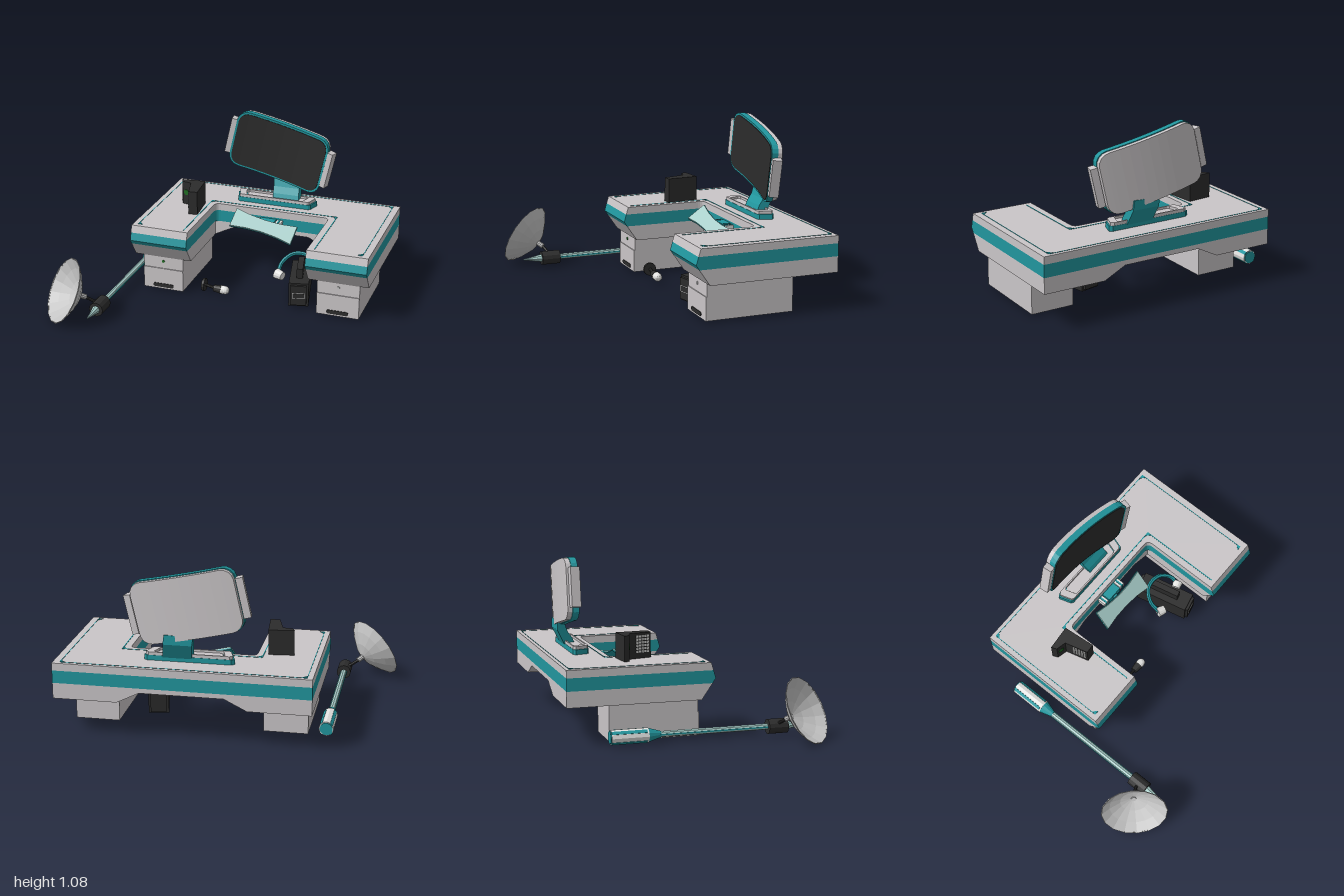
import * as THREE from 'three';

const mat = (name, color) => Object.assign(new THREE.MeshStandardMaterial({ color }), { name });

export function createModel() {
  const grey = mat('warm grey', 0xcac6c8);
  const teal = mat('teal', 0x21969e);
  const black = mat('black', 0x2c2c2c);
  const mint = mat('pale mint', 0xa9cfcb);
  const white = mat('off white', 0xe2e2e0);
  const green = mat('green', 0x1f6b22);
  const dish = mat('dish grey', 0xc4c4c4);
  dish.side = THREE.DoubleSide;

  const root = new THREE.Group();
  root.name = 'workstation';

  // Adds a faceted mesh
  function add(parent, name, geo, material, pos = [0, 0, 0], rot = [0, 0, 0]) {
    const g = geo.index ? geo.toNonIndexed() : geo;
    g.computeVertexNormals();
    const m = new THREE.Mesh(g, material);
    m.name = name;
    m.position.set(...pos);
    m.rotation.set(...rot);
    parent.add(m);
    return m;
  }
  function group(name, pos = [0, 0, 0], parent = root) {
    const g = new THREE.Group();
    g.name = name;
    g.position.set(...pos);
    parent.add(g);
    return g;
  }
  // Box given by its limits
  const span = (parent, name, m, x0, x1, y0, y1, z0, z1) => add(parent, name,
    new THREE.BoxGeometry(x1 - x0, y1 - y0, z1 - z0), m, [(x0 + x1) / 2, (y0 + y1) / 2, (z0 + z1) / 2]);
  const shapeOf = pts => new THREE.Shape(pts.map(p => new THREE.Vector2(...p)));
  const extrude = (shape, depth) => new THREE.ExtrudeGeometry(shape, { depth, bevelEnabled: false, curveSegments: 5 });
  // Outline in x, z raised from y = 0
  const raise = (pts, h) => extrude(shapeOf(pts.map(([x, z]) => [x, -z])), h).rotateX(-Math.PI / 2);
  // Moves vertices by a rule
  function warp(geo, rule) {
    const p = geo.attributes.position, v = new THREE.Vector3();
    for (let i = 0; i < p.count; i++) {
      rule(v.fromBufferAttribute(p, i));
      p.setXYZ(i, v.x, v.y, v.z);
    }
    return geo;
  }
  // Cylinder between two points
  function rod(parent, name, m, a, b, ra, rb = ra, sides = 12) {
    const A = new THREE.Vector3(...a), d = new THREE.Vector3(...b).sub(A);
    const mesh = add(parent, name, new THREE.CylinderGeometry(rb, ra, d.length(), sides), m);
    mesh.position.copy(A).addScaledVector(d, 0.5);
    mesh.quaternion.setFromUnitVectors(new THREE.Vector3(0, 1, 0), d.normalize());
    return mesh;
  }

  // Desk: U-shaped layers with a pointed front
  const desk = group('desk');
  const frontZ = y => y < 0.38 ? 0.04 + (y - 0.25) * 0.69 : 0.13 - (y - 0.38) * 0.3;
  function deskLayer(name, m, y0, y1) {
    const s = new THREE.Shape();
    s.moveTo(-0.59, -0.1).lineTo(-0.2, -0.1).lineTo(-0.2, 0.4).quadraticCurveTo(-0.2, 0.44, -0.16, 0.44);
    s.lineTo(0.56, 0.44).quadraticCurveTo(0.6, 0.44, 0.6, 0.4).lineTo(0.6, -0.1);
    s.lineTo(1, -0.1).lineTo(1, 0.8).lineTo(-0.59, 0.8);
    const g = extrude(s, y1 - y0).rotateX(-Math.PI / 2).translate(0, y0, 0);
    add(desk, name, warp(g, v => { if (v.z > 0) v.z = frontZ(v.y); }), m);
  }
  deskLayer('deskTop', grey, 0.43, 0.478);
  deskLayer('bandUpper', teal, 0.38, 0.43);
  deskLayer('bandLower', teal, 0.35, 0.38);
  for (const [x0, x1] of [[-0.59, -0.2], [0.6, 1]]) {
    const g = new THREE.BoxGeometry(x1 - x0, 0.1, 1).translate((x0 + x1) / 2, 0.3, 0);
    add(desk, 'wingUnderside', warp(g, v => { v.z = v.z > 0 ? frontZ(v.y) : -0.8; }), grey);
  }
  add(desk, 'beamUnderside', extrude(shapeOf([[-0.2, 0.25], [-0.06, 0.32], [0.46, 0.32], [0.6, 0.25],
    [0.6, 0.35], [-0.2, 0.35]]), 0.36), grey, [0, 0, -0.8]);

  // Inlaid lines and corner marks
  const inlay = (x0, x1, z0, z1) => span(desk, 'inlay', teal, x0, x1, 0.476, 0.48, z0, z1);
  for (const x of [-0.555, 0.955]) inlay(x - 0.002, x + 0.002, -0.775, 0.07);
  for (const x of [-0.237, 0.645]) inlay(x - 0.003, x + 0.003, -0.475, 0.07);
  inlay(-0.555, 0.955, -0.777, -0.773);
  inlay(-0.237, 0.645, -0.478, -0.472);
  for (const [x, z, sx, sz] of [[-0.555, -0.775, 1, 1], [0.955, -0.775, -1, 1], [-0.555, 0.07, 1, -1],
    [0.955, 0.07, -1, -1], [-0.237, -0.475, 1, 1], [0.645, -0.475, -1, 1]]) {
    const pts = [[x, z], [x, z + sz * 0.03], [x + sx * 0.03, z]];
    add(desk, 'cornerMark', raise(pts, 0.006), teal, [0, 0.476, 0]);
  }

  // Pedestals with drawer fronts
  [[-0.535, -0.258, green], [0.66, 0.94, dish]].forEach(([x0, x1, light]) => {
    const c = (x0 + x1) / 2, p = group('pedestal');
    span(p, 'cabinet', grey, x0, x1, 0.018, 0.26, -0.53, 0.034);
    span(p, 'drawerFront', grey, x0, x1, 0.018, 0.165, 0.034, 0.04);
    span(p, 'drawerHandle', black, c - 0.06, c + 0.06, 0.03, 0.056, 0.038, 0.044);
    for (const s of [-1, 1]) add(p, 'handleEnd', new THREE.CylinderGeometry(0.013, 0.013, 0.006, 10), black,
      [c + s * 0.06, 0.043, 0.041], [Math.PI / 2, 0, 0]);
    add(p, 'light', new THREE.CylinderGeometry(0.01, 0.01, 0.006, 8), light, [c, 0.217, 0.036], [Math.PI / 2, 0, 0]);
  });

  // Monitor: curved, rounded panels
  const monitor = group('monitor', [0.193, 0.836, -0.655]);
  monitor.rotation.set(0, -0.06, -0.222, 'YXZ');
  const bend = x => 0.28 * x * x;
  function panel(name, m, w, h, r, z0, z1) {
    const g = new THREE.BoxGeometry(w, h, z1 - z0, 16, 1, 1);
    add(monitor, name, warp(g, v => {
      const i = Math.round(Math.abs(v.x) / w * 16), a = Math.max(0, i - 4) * Math.PI / 8, flat = w / 2 - r;
      v.x = Math.sign(v.x) * (i < 4 ? flat * i / 4 : flat + r * Math.sin(a));
      v.y = Math.sign(v.y) * (h / 2 - r + r * Math.cos(a));
      v.z += (z0 + z1) / 2 + bend(v.x);
    }), m);
  }
  panel('screenShell', teal, 0.665, 0.4, 0.075, -0.012, 0.03);
  panel('screen', black, 0.638, 0.373, 0.065, 0.03, 0.034);
  panel('screenBack', grey, 0.655, 0.39, 0.072, -0.042, -0.012);
  for (const s of [-1, 1]) add(monitor, 'sideSpeaker', new THREE.BoxGeometry(0.045, 0.25, 0.06), grey,
    [s * 0.352, 0, 0.033], [0, -s * 0.18, 0]);

  // Monitor stand
  const stand = group('monitorStand');
  const neck = extrude(shapeOf([[0.57, 0.5], [0.64, 0.5], [0.665, 0.55], [0.69, 0.6], [0.69, 0.66],
    [0.65, 0.66], [0.62, 0.585], [0.59, 0.545]]), 0.18).rotateY(Math.PI / 2);
  add(stand, 'neck', warp(neck, v => { v.z = -Math.abs(v.z); v.x += 0.165 - (v.y - 0.52) * 0.13; }), teal);
  const foot = y => [[-0.095, -0.625], [-0.075, -0.64], [0.445, -0.64], [0.465, -0.625], [0.44, -0.545],
    [0.425, -0.535], [-0.055, -0.535], [-0.07, -0.545]].map(([x, z]) => [0.185 + (x - 0.185) * y, -0.588 + (z + 0.588) * y]);
  add(stand, 'footBase', raise(foot(1), 0.034), teal, [0, 0.476, 0]);
  const ring = shapeOf(foot(0.96).map(([x, z]) => [x, -z]));
  ring.holes.push(new THREE.Path(foot(0.78).map(([x, z]) => new THREE.Vector2(x, -z)).reverse()));
  add(stand, 'footRim', extrude(ring, 0.02).rotateX(-Math.PI / 2), grey, [0, 0.51, 0]);
  add(stand, 'footInset', raise(foot(0.76), 0.008), grey, [0, 0.508, 0]);

  // Keyboard: a tilted bow-tie plate on a bracket
  const keyboard = group('keyboard', [0.183, 0.41, -0.315]);
  keyboard.rotation.set(-0.9, 0, -0.18, 'ZXY');
  const bow = (w, e, m) => shapeOf([[-w, -e], [-w / 2, -m - 0.006], [0, -m], [w / 2, -m - 0.006], [w, -e],
    [w, e], [w / 2, m + 0.006], [0, m], [-w / 2, m + 0.006], [-w, e]]);
  add(keyboard, 'keyboardTop', extrude(bow(0.215, 0.068, 0.045), 0.008), mint);
  add(keyboard, 'keyboardBase', extrude(bow(0.217, 0.071, 0.048), 0.009), teal, [0, 0, -0.009]);
  const bracket = group('keyboardBracket');
  span(bracket, 'mountPlate', teal, 0.125, 0.235, 0.37, 0.42, -0.44, -0.38);
  for (const x of [0.08, 0.24]) {
    span(bracket, 'mountSide', white, x, x + 0.04, 0.375, 0.415, -0.44, -0.385);
    span(bracket, 'mountStripe', teal, x + 0.014, x + 0.026, 0.372, 0.418, -0.44, -0.38);
  }
  span(bracket, 'mountArm', teal, 0.163, 0.192, 0.38, 0.405, -0.39, -0.32);

  // Folded control unit on the desk
  const unit = group('controlUnit', [0, 0.478, 0]);
  add(unit, 'unitBody', raise([[-0.425, -0.4], [-0.41, -0.365], [-0.345, -0.35], [-0.305, -0.2],
    [-0.245, -0.205], [-0.265, -0.415]], 0.16), black);
  const keys = group('keyGrid', [-0.322, 0.09, -0.257], unit);
  keys.rotation.y = Math.atan2(-0.15, 0.04);
  for (let r = 0; r < 6; r++) for (let c = 0; c < 5; c++)
    add(keys, 'key', new THREE.BoxGeometry(0.014, 0.013, 0.005), white, [(c - 2) * 0.019, (r - 2.5) * 0.019, 0]);
  add(unit, 'greenDial', new THREE.CylinderGeometry(0.02, 0.02, 0.006, 10), green, [-0.38, 0.085, -0.358],
    [Math.PI / 2, 0, 0.23]);

  // Case on the floor
  const box = group('floorCase', [0.485, 0.02, -0.19]);
  box.rotation.y = 0.22;
  span(box, 'caseBody', black, -0.065, 0.065, 0, 0.16, -0.18, 0.18);
  for (const s of [-1, 1]) span(box, 'caseEnd', black, -0.052, 0.052, 0.012, 0.148, s * 0.185 - 0.012, s * 0.185 + 0.012);
  span(box, 'caseGrip', black, -0.02, 0.02, 0.16, 0.225, -0.1, 0.1);
  span(box, 'casePanel', dish, -0.04, 0.04, 0.06, 0.1, 0.195, 0.199);
  span(box, 'casePanelInset', black, -0.036, 0.036, 0.064, 0.096, 0.197, 0.201);

  // Headset hung over the case
  const headset = group('headset');
  const band = new THREE.CatmullRomCurve3([[0.345, 0.17, -0.13], [0.35, 0.22, -0.21], [0.4, 0.26, -0.27],
    [0.46, 0.27, -0.285], [0.53, 0.255, -0.27], [0.58, 0.22, -0.22], [0.58, 0.19, -0.16]].map(p => new THREE.Vector3(...p)));
  add(headset, 'headband', new THREE.TubeGeometry(band, 24, 0.014, 6), teal);
  rod(headset, 'earCup', white, [0.335, 0.17, -0.135], [0.385, 0.165, -0.115], 0.035, 0.028);
  rod(headset, 'earCup', white, [0.592, 0.19, -0.165], [0.55, 0.185, -0.15], 0.035, 0.028);

  // Microphone lying on its side
  const mic = group('microphone');
  rod(mic, 'micFoot', black, [-0.137, 0.065, -0.022], [-0.12, 0.065, -0.022], 0.043);
  rod(mic, 'micStem', black, [-0.12, 0.065, -0.022], [-0.05, 0.05, -0.022], 0.01, 0.01, 8);
  rod(mic, 'micBody', black, [-0.06, 0.05, -0.022], [-0.008, 0.047, -0.022], 0.022, 0.03);
  rod(mic, 'micCollar', white, [-0.008, 0.047, -0.022], [0.018, 0.046, -0.022], 0.028);
  add(mic, 'micHead', new THREE.SphereGeometry(0.028, 12, 8), white, [0.018, 0.046, -0.022]);

  // Long probe along the floor
  const probe = group('probe'), at = z => [-0.648, 0.07, z];
  rod(probe, 'handle', white, at(-0.55), at(-0.32), 0.046);
  rod(probe, 'handleTaper', teal, at(-0.32), at(-0.24), 0.044, 0.02);
  rod(probe, 'handleCap', teal, at(-0.556), at(-0.55), 0.04);
  for (let i = 0; i < 4; i++) {
    const a = (i + 0.5) * Math.PI / 2;
    add(probe, 'handleStripe', new THREE.BoxGeometry(0.009, 0.022, 0.22), teal,
      [-0.648 + Math.cos(a) * 0.042, 0.07 + Math.sin(a) * 0.042, -0.44], [0, 0, a]);
  }
  rod(probe, 'shaft', mint, at(-0.26), at(0.45), 0.019, 0.019, 8);
  for (const s of [-1, 1]) span(probe, 'shaftLine', teal, -0.648 + s * 0.018 - 0.003, -0.648 + s * 0.018 + 0.003,
    0.066, 0.074, -0.25, 0.45);
  rod(probe, 'sleeve', black, at(0.445), at(0.57), 0.047);
  rod(probe, 'tip', mint, at(0.57), at(0.7), 0.027, 0.002, 8);

  // Dish antenna on a short arm
  const axis = new THREE.Vector3(-0.67, 0.45, 0.6).normalize();
  const antenna = group('antenna', [-0.76, 0.146, 0.553]);
  antenna.quaternion.setFromUnitVectors(new THREE.Vector3(0, 1, 0), axis);
  const bowl = [[0.001, 0], [0.09, 0.033], [0.16, 0.075], [0.215, 0.12]].map(p => new THREE.Vector2(...p));
  add(antenna, 'bowl', new THREE.LatheGeometry(bowl, 16), dish);
  add(antenna, 'rim', new THREE.TorusGeometry(0.213, 0.004, 4, 16), dish, [0, 0.12, 0], [Math.PI / 2, 0, 0]);
  add(antenna, 'hub', new THREE.CylinderGeometry(0.018, 0.018, 0.05, 10), dish, [0, -0.012, 0]);
  rod(probe, 'antennaArm', black, [-0.74, 0.132, 0.535], [-0.67, 0.09, 0.505], 0.01, 0.01, 8);

  return root;
}
